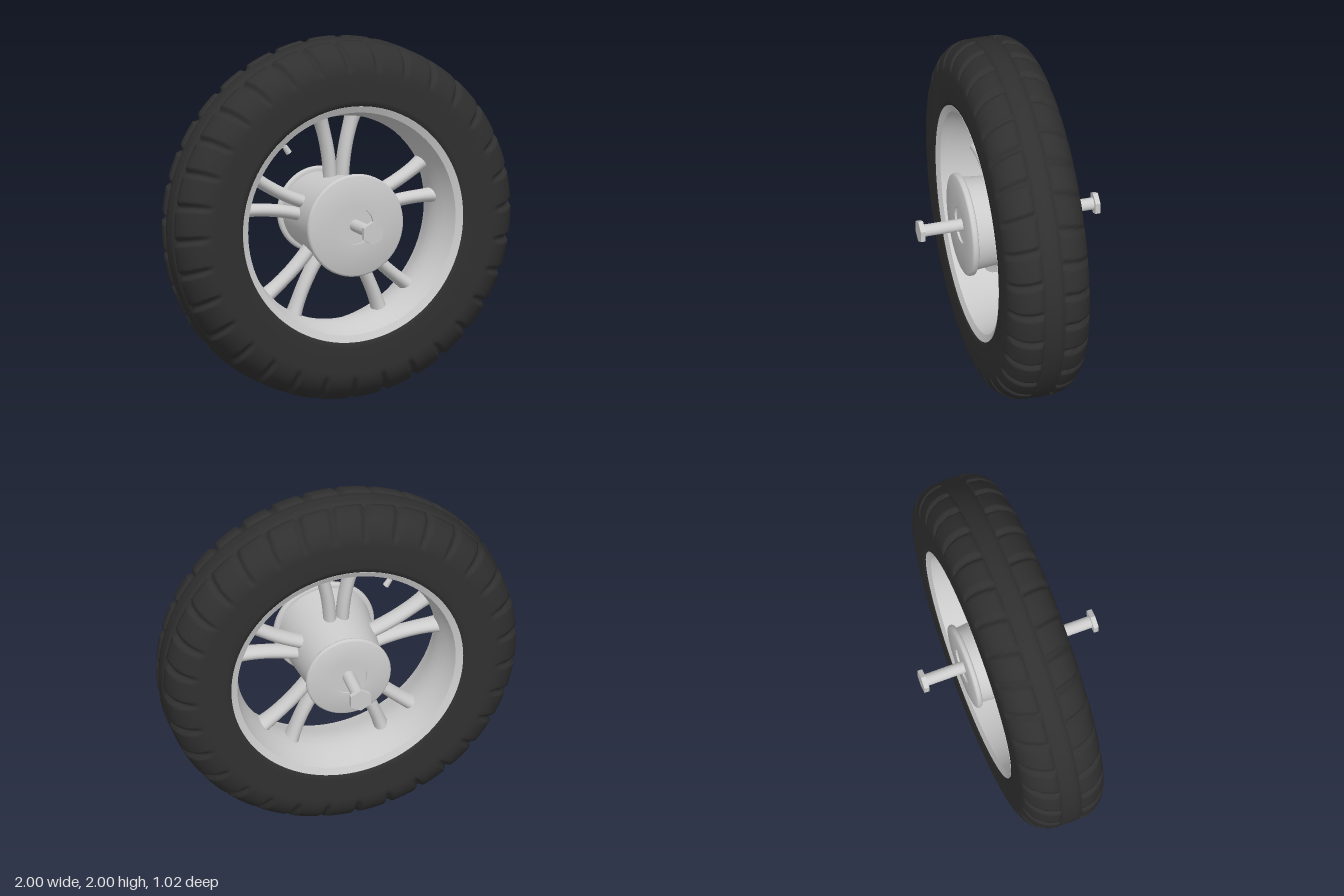
import * as THREE from 'three';
import { mergeVertices, toCreasedNormals } from 'three/addons/utils/BufferGeometryUtils.js';

const rubber = new THREE.MeshStandardMaterial({ color: 0x303030 });
rubber.name = 'rubber';
const metal = new THREE.MeshStandardMaterial({ color: 0xcccccc });
metal.name = 'metal';

// Keeps edges sharp; scaled up so that small bevels stay distinct
function crease(geometry, angle = 0.5) {
  geometry.scale(50, 50, 50);
  const g = toCreasedNormals(geometry, angle);
  return g.scale(0.02, 0.02, 0.02);
}

// Lathe around the z axis from [radius, z] points
function turn(points, segments) {
  const g = new THREE.LatheGeometry(points.map(([r, z]) => new THREE.Vector2(r, z)), segments);
  return g.rotateX(Math.PI / 2);
}

function addMesh(parent, name, geometry, material) {
  const mesh = new THREE.Mesh(geometry, material);
  mesh.name = name;
  parent.add(mesh);
  return mesh;
}

// Tyre: rounded section with two rings cut in and cross grooves on both shoulders
function tyreGeometry() {
  const half = [[0.64, 0.2], [0.66, 0.231], [0.69, 0.236], [0.76, 0.236]];
  for (let i = 0; i <= 12; i++) {
    const a = (i / 12) * Math.PI / 2;
    half.push([0.83 + 0.17 * Math.sin(a), 0.068 + 0.168 * Math.cos(a)]);
  }
  half.push([0.986, 0.06], [0.986, 0.052], [1, 0.043], [1, 0.015]);
  const points = [...half.map(([r, z]) => [r, -z]), ...half.reverse()];
  const g = turn(points, 512);
  const p = g.attributes.position;
  const grooves = 32;
  for (let i = 0; i < p.count; i++) {
    const x = p.getX(i), y = p.getY(i), z = p.getZ(i);
    const r = Math.hypot(x, y);
    const az = Math.abs(z);
    if (az < 0.064 || r < 0.84) continue;
    const turns = Math.atan2(y, x) / (2 * Math.PI) + 1;
    const phase = turns * grooves + (z > 0 ? 0.25 : 0.75) + 0.9 * (az - 0.07);
    const d = Math.abs((phase % 1) - 0.5);
    const cut = THREE.MathUtils.smoothstep(0.13 - d, 0, 0.09);
    const fade = THREE.MathUtils.smoothstep(r, 0.84, 0.91);
    const k = 1 - 0.022 * cut * fade / r;
    p.setXYZ(i, x * k, y * k, z * (1 - 0.03 * cut * fade));
  }
  g.deleteAttribute('normal');
  g.deleteAttribute('uv');
  const merged = mergeVertices(g, 1e-5);
  merged.computeVertexNormals();
  return merged;
}

// Spoke: oval bar bending sideways and flaring where it meets the rim
function spokeGeometry() {
  const g = new THREE.CylinderGeometry(1, 1, 1, 18, 14, true);
  const p = g.attributes.position;
  for (let i = 0; i < p.count; i++) {
    const t = p.getY(i) + 0.5;
    const flare = 1 + 0.25 * t ** 8;
    p.setXYZ(i,
      0.035 + 0.072 * t * t + p.getX(i) * 0.036 * flare,
      0.18 + 0.405 * t,
      p.getZ(i) * 0.052 * flare);
  }
  g.deleteAttribute('normal');
  g.deleteAttribute('uv');
  const merged = mergeVertices(g);
  merged.computeVertexNormals();
  return merged;
}

export function createModel() {
  const wheel = new THREE.Group();
  wheel.name = 'wheel';
  wheel.position.y = 1;

  addMesh(wheel, 'tyre', tyreGeometry(), rubber);

  // Rim: bevelled lips and a bowl narrowing to the middle
  const bowl = [[0.66, 0.233], [0.622, 0.216], [0.612, 0.18], [0.594, 0.12], [0.578, 0.06], [0.572, 0]];
  const rim = [...bowl, ...bowl.slice(0, -1).reverse().map(([r, z]) => [r, -z]), bowl[0]];
  addMesh(wheel, 'rim', crease(turn(rim, 96)), metal);

  // Hub: tapered drum between a large front disc and a smaller back disc
  const hub = [
    [0.02, -0.258], [0.103, -0.258], [0.103, -0.268], [0.23, -0.268], [0.237, -0.264], [0.241, -0.257],
    [0.241, -0.247], [0.237, -0.24], [0.23, -0.236], [0.215, -0.236],
    [0.26, 0.237], [0.275, 0.237], [0.282, 0.241], [0.286, 0.248],
    [0.286, 0.263], [0.282, 0.271], [0.275, 0.275], [0.103, 0.275], [0.103, 0.263], [0.02, 0.263],
  ];
  addMesh(wheel, 'hub', crease(turn(hub, 72), 0.7), metal);

  // Axle with a hexagonal head at each end
  addMesh(wheel, 'axle', new THREE.CylinderGeometry(0.034, 0.034, 0.98, 32).rotateX(Math.PI / 2), metal);
  for (const side of [1, -1]) {
    const head = new THREE.CylinderGeometry(0.065, 0.065, 0.028, 6).rotateX(Math.PI / 2);
    addMesh(wheel, side > 0 ? 'frontAxleHead' : 'backAxleHead', crease(head), metal).position.z = side * 0.497;
  }

  // Five pairs of spokes
  const spoke = spokeGeometry();
  for (let i = 0; i < 5; i++) {
    const pair = new THREE.Group();
    pair.name = 'spokePair' + (i + 1);
    pair.rotation.z = (i * 2 * Math.PI) / 5;
    for (const turned of [0, Math.PI]) addMesh(pair, 'spoke', spoke, metal).rotation.y = turned;
    wheel.add(pair);
  }

  // Air valve pointing from the rim towards the hub
  const valve = new THREE.Group();
  valve.name = 'airValve';
  valve.position.set(-0.315, 0.43, 0);
  valve.rotation.z = Math.atan2(0.06, 0.09);
  addMesh(valve, 'valveStem', new THREE.CylinderGeometry(0.01, 0.01, 0.14, 16), metal).position.y = 0.04;
  addMesh(valve, 'valveCap', new THREE.CylinderGeometry(0.015, 0.018, 0.045, 16), metal).position.y = -0.035;
  wheel.add(valve);

  const model = new THREE.Group();
  model.name = 'model';
  model.add(wheel);
  return model;
}
